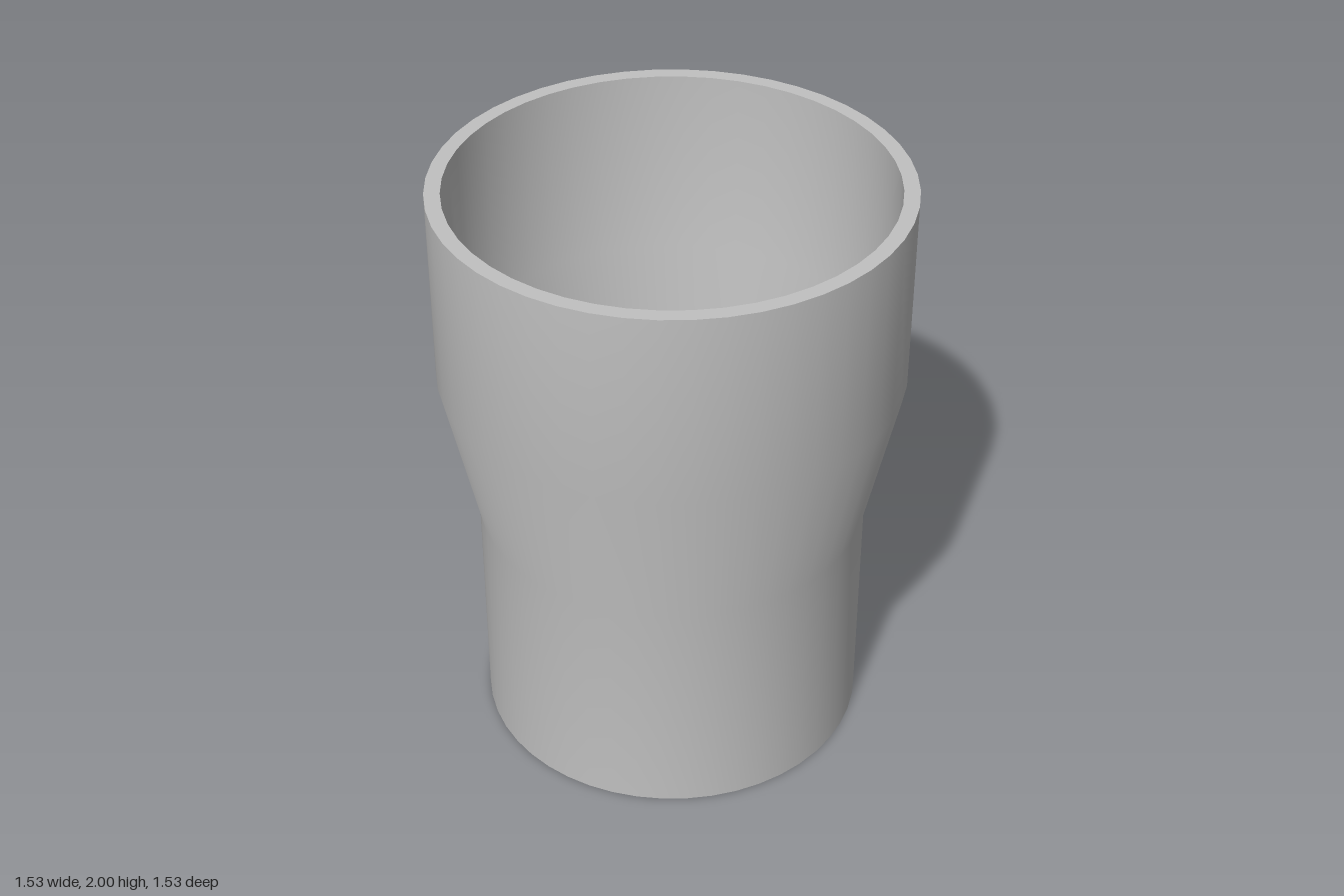
import * as THREE from 'three';

const SEGMENTS = 48;

export function createModel() {
  const plastic = new THREE.MeshStandardMaterial({ color: 0xc0c0c0 });
  plastic.name = 'greyPlastic';

  const model = new THREE.Group();
  model.name = 'pipeReducer';

  // Profiles as [radius, height]; each surface is smooth, with sharp rims between them
  const outer = [[0.65, 0], [0.65, 0.8], [0.766, 1.34], [0.766, 2]];
  const inner = [[0.715, 2], [0.715, 1.34], [0.585, 0.8], [0.585, 0]];

  const addRevolved = (name, profile) => {
    const points = profile.map(([r, y]) => new THREE.Vector2(r, y));
    const mesh = new THREE.Mesh(new THREE.LatheGeometry(points, SEGMENTS), plastic);
    mesh.name = name;
    model.add(mesh);
  };

  addRevolved('outerWall', outer);
  addRevolved('topRim', [outer[3], inner[0]]);
  addRevolved('innerWall', inner);
  addRevolved('bottomRim', [inner[3], outer[0]]);

  return model;
}
